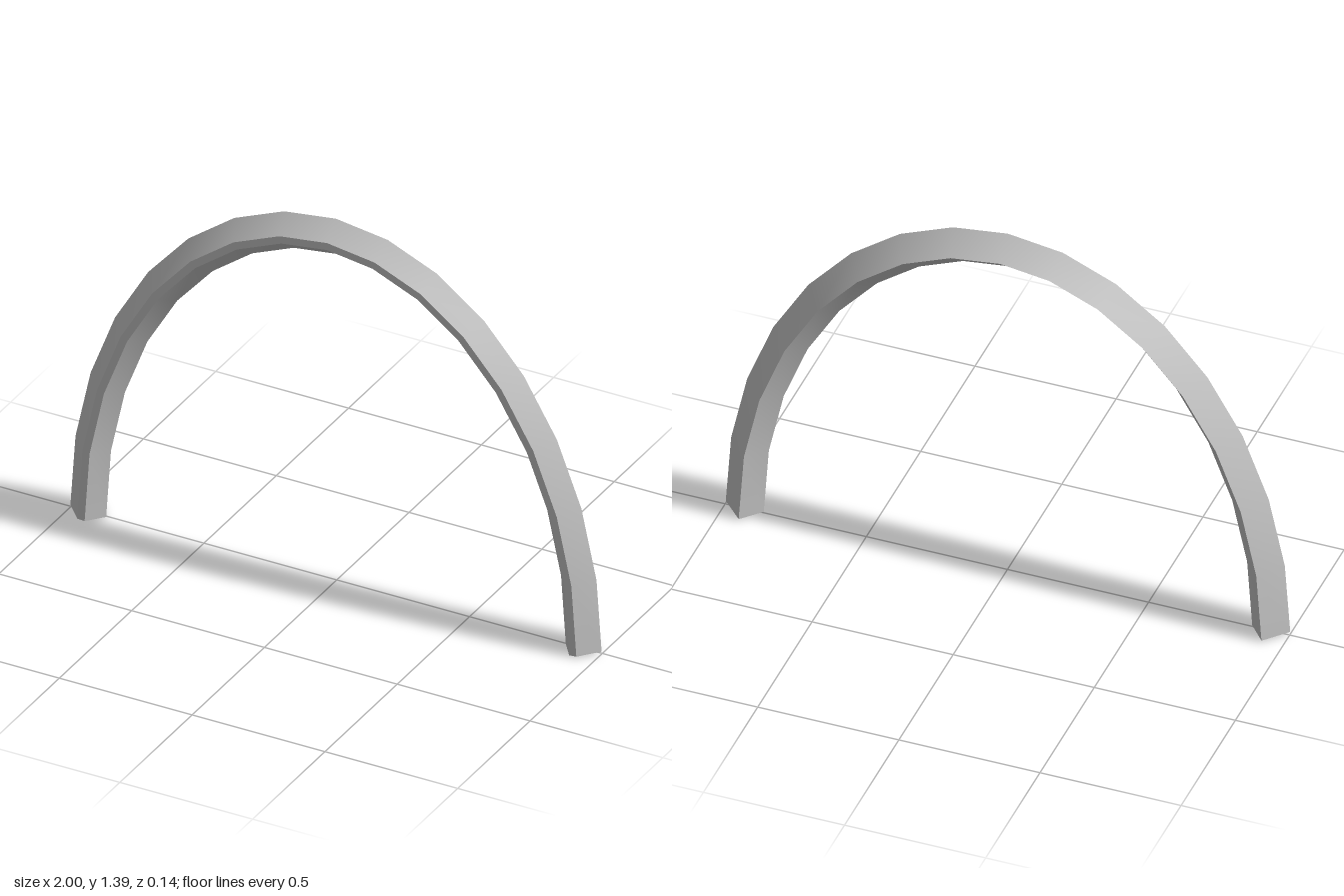
import * as THREE from 'three';

const STEPS = 16;
// Five-sided cross-section: [depth inward from the outer ridge, z]
const SECTION = [[0, 0.005], [0.061, 0.068], [0.088, 0.068], [0.135, 0.005], [0.074, -0.068]];

// Outer ridge follows half an ellipse from the -x foot to the +x foot
function ridge(i) {
  const a = (i / STEPS - 0.5) * Math.PI;
  return new THREE.Vector2(Math.sin(a), 0.01 + 1.38 * Math.cos(a));
}

// Cross-section placed square to the curve at step i
function ring(i) {
  const p = ridge(i);
  const t = ridge(Math.min(i + 1, STEPS)).sub(ridge(Math.max(i - 1, 0))).normalize();
  return SECTION.map(([d, z]) => [p.x + t.y * d, p.y - t.x * d, z]);
}

function archGeometry() {
  const rings = Array.from({ length: STEPS + 1 }, (_, i) => ring(i));
  const n = SECTION.length;
  const positions = [];
  const index = [];

  // One strip per side: smooth along the curve, sharp between sides
  for (let s = 0; s < n; s++) {
    const base = positions.length / 3;
    for (const r of rings) positions.push(...r[s], ...r[(s + 1) % n]);
    for (let i = 0; i < STEPS; i++) {
      const a = base + i * 2;
      index.push(a, a + 1, a + 2, a + 1, a + 3, a + 2);
    }
  }

  // Flat caps on both feet
  for (const cap of [[...rings[0]].reverse(), rings[STEPS]]) {
    const base = positions.length / 3;
    positions.push(...cap.flat());
    for (let k = 1; k < n - 1; k++) index.push(base, base + k, base + k + 1);
  }

  const geometry = new THREE.BufferGeometry();
  geometry.setAttribute('position', new THREE.Float32BufferAttribute(positions, 3));
  geometry.setIndex(index);
  geometry.computeVertexNormals();
  return geometry;
}

export function createModel() {
  const group = new THREE.Group();
  group.name = 'archModel';
  const arch = new THREE.Mesh(archGeometry(), new THREE.MeshStandardMaterial({ color: 0xcccccc }));
  arch.name = 'arch';
  group.add(arch);
  return group;
}
